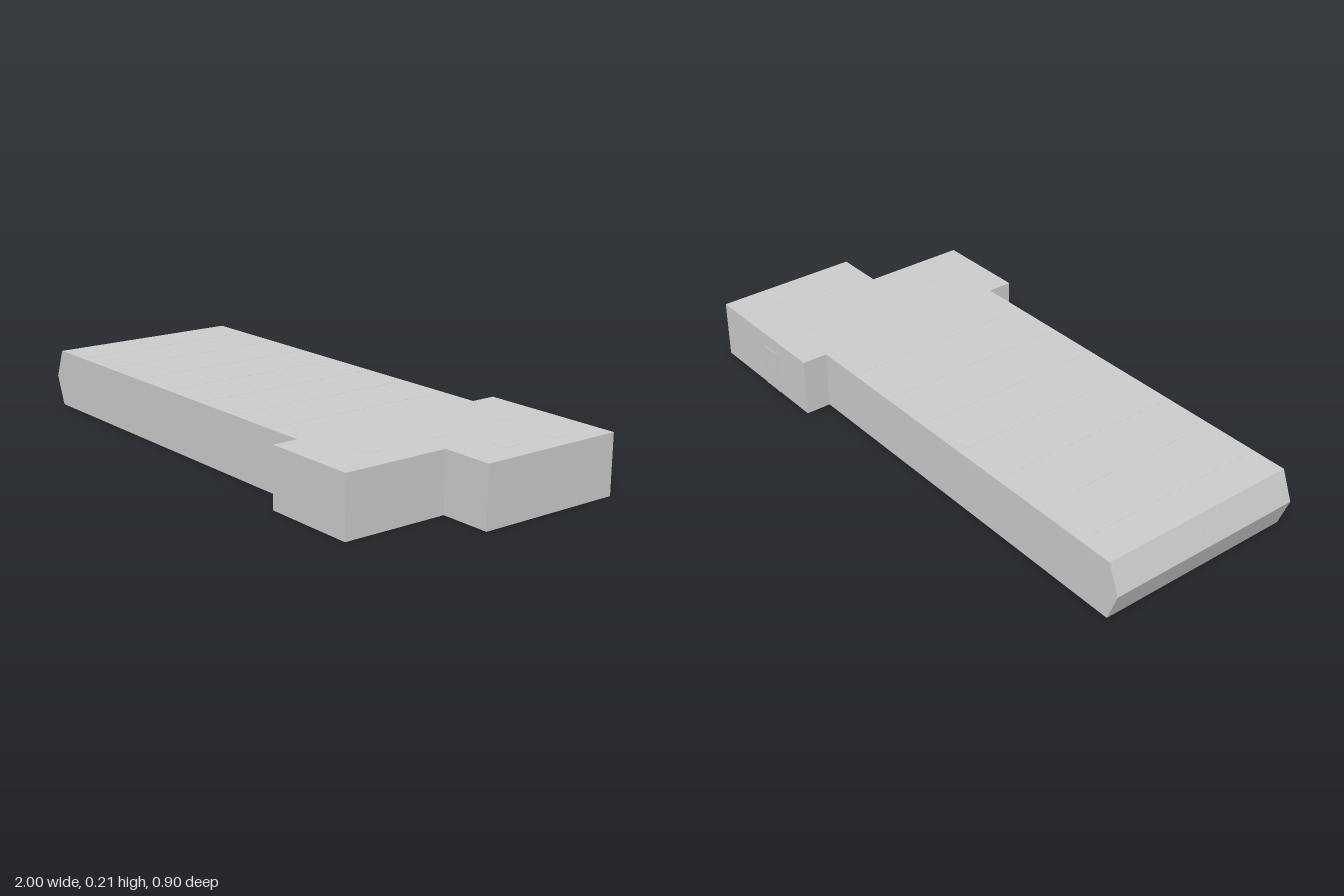
import * as THREE from 'three';

const H = 0.205;
const mat = new THREE.MeshStandardMaterial({ color: 0xcccccc, flatShading: true });

function add(parent, name, geometry, x = 0, y = 0, z = 0) {
  const mesh = new THREE.Mesh(geometry, mat);
  mesh.name = name;
  mesh.position.set(x, y, z);
  parent.add(mesh);
  return mesh;
}

function extrude(points, depth) {
  const shape = new THREE.Shape(points.map(([x, y]) => new THREE.Vector2(x, y)));
  return new THREE.ExtrudeGeometry(shape, { depth, bevelEnabled: false });
}

export function createModel() {
  const model = new THREE.Group();
  model.name = 'building';

  // Long hall with a wedge-shaped end wall
  const profile = [[-0.96, 0], [0.48, 0], [0.48, H], [-0.96, H], [-1, H / 2]];
  add(model, 'mainHall', extrude(profile, 0.72), 0, 0, -0.36);

  // Stepped entrance block: footprint in x and -z, raised to the roof
  const footprint = [[0.48, -0.451], [0.82, -0.451], [0.82, -0.075], [1, -0.075], [1, 0.45], [0.48, 0.45]];
  add(model, 'entranceBlock', extrude(footprint, H).rotateX(-Math.PI / 2));

  // Rows of almost flush roof strips, three panels per row
  const strips = new THREE.Group();
  strips.name = 'roofStrips';
  model.add(strips);
  const stripGeo = new THREE.BoxGeometry(0.03, 0.001, 0.2);
  for (let row = 0; row < 7; row++) {
    for (const z of [-0.23, 0, 0.23]) {
      add(strips, 'roofStrip', stripGeo, -0.82 + row * 0.19, H, z);
    }
  }

  // Square roof panels over the entrance rooms
  const panelGeo = new THREE.BoxGeometry(0.06, 0.001, 0.06);
  for (const [x, z] of [[0.68, -0.3], [0.91, -0.29], [0.69, -0.01], [0.89, -0.1], [0.69, 0.26]]) {
    add(model, 'roofPanel', panelGeo, x, H, z);
  }

  // Small round studs on the upper slope of the wedge
  const slope = Math.atan2(H / 2, 0.04);
  const studGeo = new THREE.CylinderGeometry(0.005, 0.005, 0.002, 10);
  for (let i = -2; i <= 2; i++) {
    add(model, 'wallStud', studGeo, -0.975, H / 2 + 0.064, i * 0.14).rotation.z = slope;
  }

  // Back door: frame, leaf and handle
  const door = new THREE.Group();
  door.name = 'backDoor';
  door.position.set(0.7, 0, -0.45);
  model.add(door);
  for (const side of [-1, 1]) {
    add(door, 'doorJamb', new THREE.BoxGeometry(0.007, 0.146, 0.005), side * 0.0365, 0.073, 0);
  }
  add(door, 'doorLintel', new THREE.BoxGeometry(0.08, 0.007, 0.005), 0, 0.1495, 0);
  add(door, 'doorLeaf', new THREE.BoxGeometry(0.066, 0.146, 0.002), 0, 0.073, 0);
  add(door, 'doorHandle', new THREE.BoxGeometry(0.004, 0.035, 0.004), -0.022, 0.08, 0);

  return model;
}
